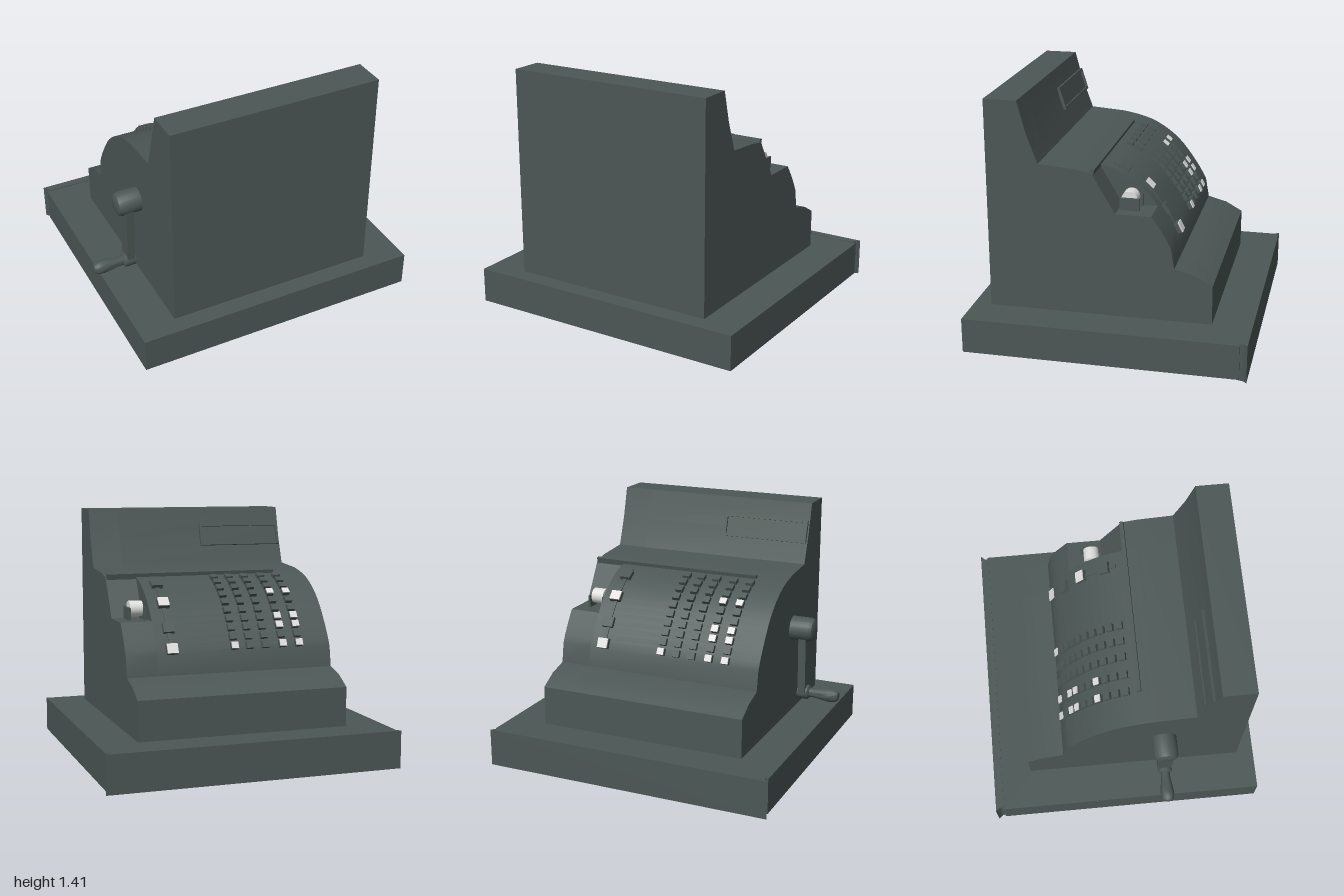
import * as THREE from 'three';
import { toCreasedNormals } from 'three/addons/utils/BufferGeometryUtils.js';

export function createModel() {
  const model = new THREE.Group();
  model.name = 'cashRegister';
  const dark = new THREE.MeshStandardMaterial({ color: 0x4c5755 });
  dark.name = 'dark grey enamel';
  const white = new THREE.MeshStandardMaterial({ color: 0xe0e0de });
  white.name = 'white';

  // local frame: low front at -x, tall back at +x, crank on +z; turned as a whole
  const register = new THREE.Group();
  register.name = 'register';
  register.rotation.y = -0.229;
  model.add(register);

  const add = (name, geo, mat = dark, parent = register) => {
    const m = new THREE.Mesh(geo, mat);
    m.name = name;
    parent.add(m);
    return m;
  };
  const box = (name, w, h, d, x, y, z, mat = dark, parent = register) => {
    const m = add(name, new THREE.BoxGeometry(w, h, d), mat, parent);
    m.position.set(x, y, z);
    return m;
  };
  const extrude = (pts, depth) => new THREE.ExtrudeGeometry(
    new THREE.Shape(pts.map(p => new THREE.Vector2(p[0], p[1]))), { depth, bevelEnabled: false });

  // drawer base and its flared front plate
  box('drawerBase', 1.544, 0.2, 1.664, 0.022, 0.11, 0);
  const plate = extrude([[-0.792, -0.842], [-0.768, -0.82], [-0.745, -0.82],
    [-0.745, 0.82], [-0.768, 0.82], [-0.792, 0.842]], 0.215);
  plate.rotateX(-Math.PI / 2);
  add('drawerFront', plate);

  // curved keyboard front
  const arc = new THREE.SplineCurve([[-0.336, 0.635], [-0.29, 0.72], [-0.197, 0.85], [-0.115, 0.93],
    [-0.012, 0.995], [0.09, 1.03], [0.193, 1.05]].map(p => new THREE.Vector2(...p)));
  const arcPts = arc.getSpacedPoints(16).map(p => [p.x, p.y]);
  const foot = [[0.693, 0.2], [-0.568, 0.2], [-0.568, 0.435], [-0.469, 0.49], [-0.356, 0.52]];
  const tower = [[0.398, 1.065], [0.46, 1.235], [0.506, 1.41], [0.693, 1.41]];
  const slice = (name, curve, z0, z1) => {
    const g = extrude([...foot, ...curve, ...tower].reverse(), z1 - z0);
    g.translate(0, 0, z0);
    add(name, toCreasedNormals(g, 0.35));
  };
  const notchEdge = -0.43;
  slice('body', arcPts, notchEdge, 0.61);
  // end slice with the receipt notch cut into the curve
  slice('notchedBody', [
    ...arcPts.filter(p => p[1] < 0.8), [-0.228, 0.81], [-0.03, 0.81], [0.1, 1.032],
    ...arcPts.filter(p => p[0] > 0.12)], -0.61, notchEdge);

  // receipt roll between two cheeks
  for (const z of [-0.535, -0.445]) box('rollCheek', 0.11, 0.07, 0.012, -0.094, 0.845, z);
  const roll = add('receiptRoll', new THREE.CylinderGeometry(0.045, 0.045, 0.075, 20), white);
  roll.rotation.x = Math.PI / 2;
  roll.position.set(-0.09, 0.87, -0.49);

  // ridge along the top of the keyboard
  box('keyboardRidge', 0.022, 0.04, 1.03, 0.1, 1.033, -0.09).rotation.z = 0.2;

  // keys stand square to the curve
  const key = (t, z, len, wide, isWhite) => {
    const p = arc.getPointAt(t), d = arc.getTangentAt(t);
    const g = new THREE.Group();
    g.name = 'key';
    g.position.set(p.x, p.y, z);
    g.rotation.z = Math.atan2(d.y, d.x);
    box('keyBody', len, 0.036, wide, 0, 0.004, 0, dark, g);
    if (isWhite) box('keyCap', len * 0.96, 0.008, wide * 0.96, 0, 0.025, 0, white, g);
    register.add(g);
  };
  const whites = [[0], [], [], [0, 2, 3, 6], [0, 2, 3, 6]];
  [0.023, 0.115, 0.21, 0.315, 0.415].forEach((z, row) => {
    for (let i = 0; i < 10; i++) key(0.04 + i * 0.08, z, 0.04, 0.042, whites[row].includes(i));
  });
  [[0.04, true], [0.22, false], [0.45, true], [0.68, false]].forEach(([t, w]) =>
    key(t, -0.345, 0.06, 0.065, w));
  // slot strip under the function keys
  for (let i = 0; i < 12; i++) {
    const t = 0.05 + i * 0.063, p = arc.getPointAt(t), d = arc.getTangentAt(t);
    box('keySlot', 0.048, 0.012, 0.022, p.x, p.y, -0.345).rotation.z = Math.atan2(d.y, d.x);
  }

  // display window frame on the sloping tower
  const display = new THREE.Group();
  display.name = 'displayWindow';
  display.position.set(0.461, 1.243, 0.342);
  display.rotation.z = -0.3;
  register.add(display);
  box('displayPane', 0.008, 0.11, 0.5, -0.002, 0, 0, dark, display);
  for (const s of [-1, 1]) {
    box('displayRail', 0.03, 0.014, 0.52, -0.003, s * 0.06, 0, dark, display);
    box('displayEnd', 0.03, 0.12, 0.014, -0.003, 0, s * 0.253, dark, display);
  }

  // crank: boss, tapered arm and rounded handle
  const crank = new THREE.Group();
  crank.name = 'crank';
  register.add(crank);
  const lathe = (name, pts, x, y, z) => {
    const g = new THREE.LatheGeometry(pts.map(p => new THREE.Vector2(...p)), 24);
    g.rotateX(Math.PI / 2);
    add(name, toCreasedNormals(g, 0.7), dark, crank).position.set(x, y, z);
  };
  lathe('crankBoss', [[0.07, 0], [0.07, 0.115], [0.06, 0.135], [0.04, 0.142], [0, 0.144]], 0.228, 0.725, 0.605);
  const arm = extrude([[-0.04, 0.335], [0.04, 0.335], [0.056, 0.725], [-0.056, 0.725]], 0.045);
  arm.translate(0.235, 0, 0.66);
  add('crankArm', arm, dark, crank);
  lathe('crankHub', [[0, 0], [0.042, 0], [0.042, 0.06], [0.03, 0.07], [0, 0.07]], 0.238, 0.335, 0.655);
  lathe('crankHandle', [[0.026, 0], [0.028, 0.06], [0.036, 0.11], [0.04, 0.15], [0.037, 0.18],
    [0.025, 0.197], [0, 0.203]], 0.238, 0.335, 0.7);

  return model;
}
